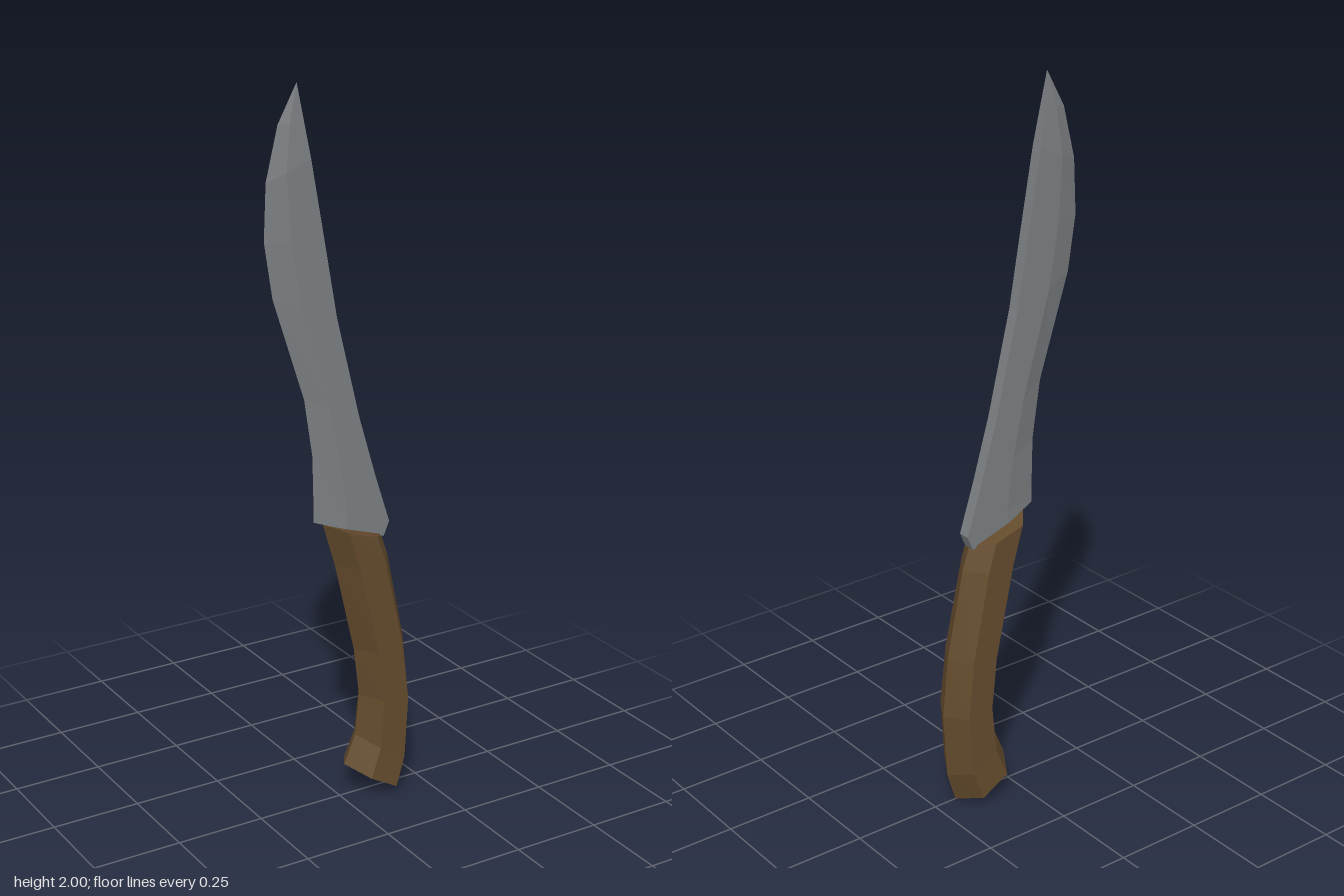
import * as THREE from 'three';

// Skin a stack of equal-sized rings (listed from bottom to top), with both ends capped
function loft(rings, material, name) {
  const pos = [];
  const tri = (...pts) => pts.forEach((p) => pos.push(...p));
  const n = rings[0].length;
  for (let i = 0; i < rings.length - 1; i++) {
    for (let j = 0; j < n; j++) {
      const k = (j + 1) % n;
      const a = rings[i][j], b = rings[i][k], c = rings[i + 1][k], d = rings[i + 1][j];
      tri(a, d, c);
      tri(a, c, b);
    }
  }
  const top = rings[rings.length - 1];
  for (let j = 1; j < n - 1; j++) {
    tri(rings[0][0], rings[0][j], rings[0][j + 1]);
    tri(top[0], top[j + 1], top[j]);
  }
  const geo = new THREE.BufferGeometry();
  geo.setAttribute('position', new THREE.Float32BufferAttribute(pos, 3));
  geo.computeVertexNormals();
  const mesh = new THREE.Mesh(geo, material);
  mesh.name = name;
  return mesh;
}

export function createModel() {
  const steel = new THREE.MeshStandardMaterial({ name: 'steel', color: 0x7d8083, flatShading: true });
  const wood = new THREE.MeshStandardMaterial({ name: 'wood', color: 0x644b2d, flatShading: true });
  const group = new THREE.Group();
  group.name = 'knife';

  // Point at fraction t from the back (x1, y1) to the front (x2, y2), at depth z
  const at = ([x1, y1, x2, y2], t, z) => [x1 + (x2 - x1) * t, y1 + (y2 - y1) * t, z];

  // Blade: spine x, y, cutting edge x, y, half thickness
  const bladeRows = [
    [0.128, 0.76, -0.08, 0.835, 0.017],
    [0.145, 0.80, -0.08, 0.87, 0.017],
    [0.10, 0.94, -0.083, 1.02, 0.017],
    [0.05, 1.11, -0.107, 1.18, 0.017],
    [-0.018, 1.39, -0.197, 1.46, 0.017],
    [-0.055, 1.60, -0.22, 1.61, 0.017],
    [-0.092, 1.81, -0.213, 1.76, 0.016],
    [-0.107, 1.90, -0.178, 1.90, 0.009],
    [-0.123, 2.00, -0.123, 2.00, 0],
  ];
  group.add(loft(bladeRows.map((r) => {
    const h = r[4];
    return [at(r, 0, h), at(r, 0.58, h), at(r, 1, 0), at(r, 0.58, -h), at(r, 0, -h)];
  }), steel, 'blade'));

  // Handle: six-sided grip, back x, y, front x, y, half width
  const gripRows = [
    [0.182, 0.005, 0.015, 0.098, 0.074],
    [0.208, 0.09, 0.05, 0.18, 0.069],
    [0.22, 0.28, 0.062, 0.30, 0.066],
    [0.202, 0.45, 0.045, 0.44, 0.064],
    [0.15, 0.70, -0.015, 0.70, 0.061],
    [0.128, 0.765, -0.052, 0.824, 0.059],
  ];
  group.add(loft(gripRows.map((r) => {
    const h = r[4];
    return [at(r, 0, 0), at(r, 0.25, h), at(r, 0.74, h),
      at(r, 1, 0), at(r, 0.74, -h), at(r, 0.25, -h)];
  }), wood, 'handle'));

  return group;
}
